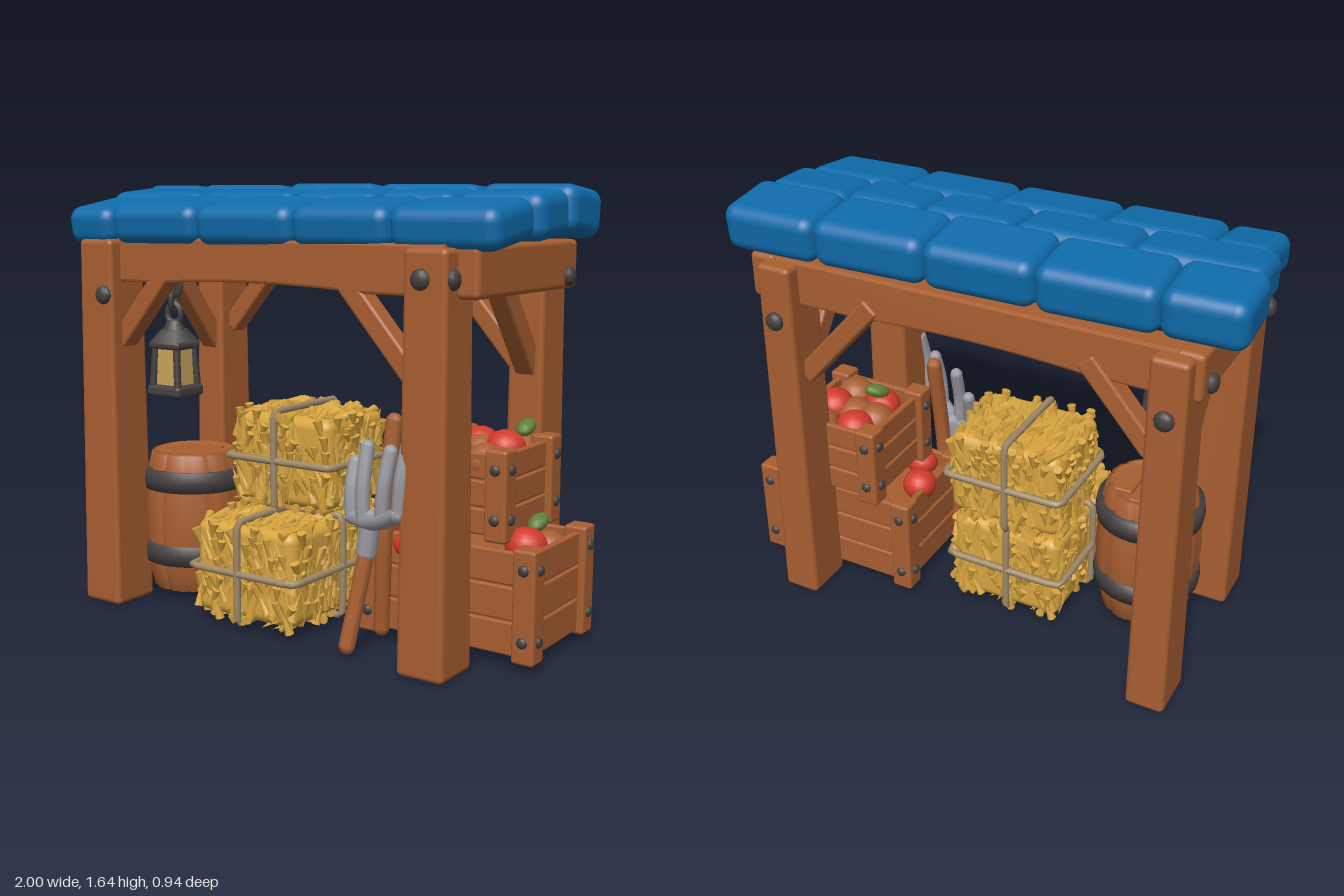
import * as THREE from 'three';
import { mergeGeometries } from 'three/addons/utils/BufferGeometryUtils.js';
import { RoundedBoxGeometry } from 'three/addons/geometries/RoundedBoxGeometry.js';

const mat = (name, color) => Object.assign(new THREE.MeshStandardMaterial({ color }), { name });
const V = (x, y, z) => new THREE.Vector3(x, y, z);

export function createModel() {
  const model = new THREE.Group();
  model.name = 'marketStall';
  const wood = mat('wood', 0xa85f31), blue = mat('blueRoof', 0x0f6cab), straw = mat('straw', 0xd8a540);
  const rope = mat('rope', 0xa08a68), iron = mat('darkIron', 0x464040), steel = mat('steel', 0x9b9ba3);
  const red = mat('appleRed', 0xd23a2b), green = mat('leafGreen', 0x5f7f35), glass = mat('lanternGlass', 0xc9a55e);
  let seed = 7;
  const rnd = () => (seed = (seed * 16807) % 2147483647) / 2147483647;
  const jit = (a) => (rnd() - 0.5) * 2 * a;

  const add = (parent, name, geo, material, x = 0, y = 0, z = 0) => {
    const m = new THREE.Mesh(geo, material);
    m.name = name;
    m.position.set(x, y, z);
    parent.add(m);
    return m;
  };
  const group = (name, parent = model) => {
    const g = new THREE.Group();
    g.name = name;
    parent.add(g);
    return g;
  };
  // Rounded block given by its minimum and maximum on each axis
  const block = (parent, name, [x0, x1], [y0, y1], [z0, z1], material = wood, r = 0.015) =>
    add(parent, name, new RoundedBoxGeometry(x1 - x0, y1 - y0, z1 - z0, 2, r), material,
      (x0 + x1) / 2, (y0 + y1) / 2, (z0 + z1) / 2);
  // Rounded block running between two points
  const strut = (parent, name, a, b, w, d, material = wood) => {
    const m = add(parent, name, new RoundedBoxGeometry(w, a.distanceTo(b), d, 2, 0.012), material);
    m.position.copy(a).lerp(b, 0.5);
    m.quaternion.setFromUnitVectors(V(0, 1, 0), b.clone().sub(a).normalize());
  };
  // Round rod along a curve with rounded ends
  const rod = (parent, name, pts, r, material) => {
    const parts = [new THREE.TubeGeometry(new THREE.CatmullRomCurve3(pts), 20, r, 8)];
    for (const p of [pts[0], pts.at(-1)])
      parts.push(new THREE.SphereGeometry(r, 8, 6).translate(p.x, p.y, p.z));
    return add(parent, name, mergeGeometries(parts), material);
  };
  const bolt = (parent, x, y, z, axis, r = 0.036) => {
    const m = add(parent, 'bolt', new THREE.SphereGeometry(r, 12, 8), iron, x, y, z);
    m.scale[axis] = 0.65;
  };

  // Frame: tapered posts (slimmer at the back), beams, braces and bolts
  const frame = group('frame');
  for (const [x, z, w] of [[-0.775, 0.345, 0.185], [0.685, 0.345, 0.18], [-0.8, -0.35, 0.15], [0.7, -0.35, 0.15]]) {
    const g = new RoundedBoxGeometry(w, 1.43, 0.205, 3, 0.02);
    const p = g.attributes.position;
    for (let i = 0; i < p.count; i++)
      if (p.getY(i) > 0) p.setXYZ(i, p.getX(i) * 0.9, p.getY(i), p.getZ(i) * 0.88);
    add(frame, 'post', g, wood, x, 0.715, z);
    const s = x < 0 ? 1 : -1, len = x < 0 ? 0.21 : 0.27;
    strut(frame, 'brace', V(x + s * 0.06, 1.25 - len, z), V(x + s * (len + 0.1), 1.33, z), 0.075, 0.08);
    if (z < 0) strut(frame, 'sideBrace', V(x, 0.97, z + 0.06), V(x, 1.32, z + 0.33), 0.08, 0.08);
  }
  const arch = new THREE.Shape();
  arch.moveTo(-0.8, 1.28);
  arch.lineTo(-0.5, 1.28);
  arch.quadraticCurveTo(-0.05, 1.315, 0.4, 1.28);
  arch.lineTo(0.72, 1.28);
  arch.lineTo(0.72, 1.43);
  arch.lineTo(-0.8, 1.43);
  for (const z of [0.285, -0.37])
    add(frame, 'longBeam', new THREE.ExtrudeGeometry(arch, { depth: 0.09, bevelSize: 0.01, bevelThickness: 0.01, bevelSegments: 2, curveSegments: 16 }), wood, 0, 0, z);
  block(frame, 'sideBeam', [-0.895, -0.79], [1.265, 1.44], [-0.38, 0.36], wood, 0.02);
  block(frame, 'sideBeam', [0.735, 0.84], [1.265, 1.44], [-0.38, 0.36], wood, 0.02);
  for (const [x, y, z, a] of [[-0.73, 1.22, 0.44, 'z'], [0.67, 1.33, 0.435, 'z'], [0.7, 1.22, -0.45, 'z'], [-0.8, 1.22, -0.45, 'z'],
    [0.845, 1.31, -0.3, 'x'], [0.765, 1.33, 0.39, 'x'], [-0.9, 1.31, 0.3, 'x'], [-0.9, 1.31, -0.3, 'x']])
    bolt(frame, x, y, z, a);

  // Roof: three rows of chunky tiles, slightly slumped at their edges
  const roof = group('roof');
  roof.rotation.y = 0.032;
  const rows = [
    { xs: [-0.93, -0.71, -0.31, 0.11, 0.5, 0.9], y: 1.502, z: 0.262, h: 0.145, d: 0.3, tilt: 0.15 },
    { xs: [-0.97, -0.51, -0.08, 0.28, 0.59, 0.92], y: 1.53, z: -0.002, h: 0.165, d: 0.25, tilt: 0.08 },
    { xs: [-1.0, -0.71, -0.28, 0.13, 0.56, 0.93], y: 1.54, z: -0.25, h: 0.175, d: 0.275, tilt: -0.09 },
  ];
  for (const { xs, y, z, h, d, tilt } of rows) for (let i = 0; i < 5; i++) {
    const w = xs[i + 1] - xs[i] + 0.004;
    const t = add(roof, 'roofTile', new RoundedBoxGeometry(w, h, d, 4, 0.05), blue, (xs[i] + xs[i + 1]) / 2, y + jit(0.004), z);
    t.rotation.set(tilt + jit(0.02), jit(0.01), jit(0.012));
  }

  // Hay bales: core, loose strands on every face, rope loops
  const bale = (cx, cy, cz, w, h, d, crossTie) => {
    const g = group('hayBale');
    g.position.set(cx, cy, cz);
    add(g, 'hayCore', new RoundedBoxGeometry(w - 0.024, h - 0.024, d - 0.024, 3, 0.04), straw);
    const strands = [], o = new THREE.Object3D(), f = new THREE.Object3D();
    f.add(o);
    const q = Math.PI / 2;
    for (const [rx, ry, fw, fh, fd] of [[0, 0, w, h, d], [0, 2 * q, w, h, d], [0, q, d, h, w], [0, -q, d, h, w], [q, 0, w, d, h], [-q, 0, w, d, h]]) {
      f.rotation.set(rx, ry, 0);
      for (let i = 0; i < fw * fh * 520; i++) {
        o.position.set(jit(fw / 2 - 0.03), jit(fh / 2 - 0.045), fd / 2 - 0.016);
        o.rotation.set(0.1 + jit(0.08), 0, (rnd() < 0.5 ? Math.PI : 0) + jit(0.5));
        f.updateMatrixWorld(true);
        strands.push(new THREE.ConeGeometry(0.018, 0.1 + jit(0.02), 7).applyMatrix4(o.matrixWorld));
      }
    }
    add(g, 'strawStrands', mergeGeometries(strands), straw);
    const loop = (a, b, toPoint) => {
      const c = [];
      for (const [sx, sy] of [[1, 1], [-1, 1], [-1, -1], [1, -1]]) {
        const near = [sx * a, sy * b * 0.88], far = [sx * a * 0.88, sy * b];
        c.push(...(sx * sy > 0 ? [near, far] : [far, near]));
      }
      const path = new THREE.CatmullRomCurve3(c.map(([u, v]) => toPoint(u, v)), true, 'catmullrom', 0.15);
      add(g, 'ropeTie', new THREE.TubeGeometry(path, 64, 0.014, 8, true), rope);
    };
    loop(d / 2 + 0.003, h / 2 + 0.003, (u, v) => V(-0.015, v, u));
    loop(w / 2 + 0.003, d / 2 + 0.003, (u, v) => V(u, 0, v));
    if (crossTie) loop(w / 2 + 0.003, h / 2 + 0.003, (u, v) => V(u, v, 0));
  };
  bale(-0.1, 0.22, 0.1, 0.48, 0.38, 0.61, true);
  bale(-0.1, 0.605, -0.02, 0.48, 0.37, 0.4, false);

  // Barrel: bulged lathe with grooves between staves, lid and two iron bands
  const barrel = group('barrel');
  barrel.position.set(-0.58, 0, 0.1);
  const profile = [[0, 0.06], [0.145, 0.06], [0.15, 0.04], [0.17, 0.04], [0.188, 0.12], [0.201, 0.22], [0.205, 0.315],
    [0.201, 0.41], [0.188, 0.51], [0.172, 0.585], [0.15, 0.592], [0.145, 0.572], [0, 0.572]];
  const staves = new THREE.LatheGeometry(profile.map(([r, y]) => new THREE.Vector2(r, y)), 60);
  const sp = staves.attributes.position;
  for (let i = 0; i < sp.count; i++)
    if (Math.floor(i / profile.length) % 5 === 0) sp.setXYZ(i, sp.getX(i) * 0.96, sp.getY(i), sp.getZ(i) * 0.96);
  staves.computeVertexNormals();
  add(barrel, 'staves', staves, wood);
  for (let i = -1; i <= 1; i++)
    block(barrel, 'lidPlank', [i * 0.092 - 0.044, i * 0.092 + 0.044], [0.56, 0.585], i ? [-0.09, 0.09] : [-0.135, 0.135], wood, 0.008);
  for (const y of [0.19, 0.485]) {
    const band = [[0.175, -0.04], [0.205, -0.04], [0.211, 0], [0.205, 0.04], [0.175, 0.04]];
    add(barrel, 'band', new THREE.LatheGeometry(band.map(([r, dy]) => new THREE.Vector2(r, y + dy)), 40), iron);
  }

  // Crates: corner battens, three planks a side, inner box, bolts
  const crate = (x0, x1, y0, y1, z0, z1) => {
    const g = group('crate'), t = 0.025, b = 0.085, step = (y1 - y0 - 0.03) / 3;
    block(g, 'innerBox', [x0 + 0.035, x1 - 0.035], [y0 + 0.01, y1 - 0.09], [z0 + 0.035, z1 - 0.035]);
    for (let i = 0; i < 3; i++) {
      const ys = [y0 + 0.015 + i * step, y0 + 0.01 + (i + 1) * step];
      for (const z of [z0 + t, z1 - 2 * t]) block(g, 'plank', [x0 + t, x1 - t], ys, [z, z + t], wood, 0.008);
      for (const x of [x0 + t, x1 - 2 * t]) block(g, 'plank', [x, x + t], ys, [z0 + t, z1 - t], wood, 0.008);
    }
    for (const sx of [0, 1]) for (const sz of [0, 1]) {
      const xs = sx ? [x1 - b, x1] : [x0, x0 + b], zs = sz ? [z1 - b, z1] : [z0, z0 + b];
      block(g, 'cornerBatten', xs, [y0, y1], zs, wood, 0.012);
      for (const y of [y0 + 0.08, y1 - 0.07]) {
        bolt(g, sx ? x1 : x0, y, (zs[0] + zs[1]) / 2, 'x', 0.02);
        bolt(g, (xs[0] + xs[1]) / 2, y, sz ? z1 : z0, 'z', 0.02);
      }
    }
  };
  crate(0.275, 0.98, 0.03, 0.43, -0.29, 0.195);
  crate(0.4, 0.83, 0.415, 0.74, -0.315, 0.125);

  // Produce heaped in the crates
  const produce = group('produce');
  const fruit = (x, y, z, r, material) => add(produce, 'fruit', new THREE.SphereGeometry(r, 16, 12), material, x, y, z).scale.set(1, 0.9, 1);
  const leaf = (x, y, z, yaw) => {
    const m = add(produce, 'leaf', new THREE.SphereGeometry(0.052, 12, 8), green, x, y, z);
    m.scale.set(1, 0.5, 0.65);
    m.rotation.set(0, yaw, 0.35);
  };
  for (const [x, y, z] of [[0.55, 0.68, -0.01], [0.7, 0.7, -0.12], [0.55, 0.685, -0.21]]) fruit(x, y, z, 0.075, red);
  for (const [x, z] of [[0.7, 0.03], [0.52, -0.11], [0.69, -0.24], [0.61, -0.11]]) fruit(x, 0.675, z, 0.075, wood);
  leaf(0.55, 0.762, -0.04, 0.9);
  leaf(0.73, 0.765, -0.22, 1.6);
  fruit(0.86, 0.395, 0.02, 0.075, red);
  fruit(0.88, 0.36, -0.12, 0.07, wood);
  fruit(0.35, 0.395, -0.07, 0.068, red);
  fruit(0.45, 0.365, 0.12, 0.065, red);
  leaf(0.86, 0.462, -0.07, 1.5);

  // Hay fork turned towards the right post, and a spare handle behind it
  const fork = group('hayFork');
  const fp = (x, y, dz = 0) => V(x, y, 0.23 + (x - 0.27) * 0.54 + dz);
  rod(fork, 'handle', [V(0.355, 0.035, 0.38), V(0.37, 0.2, 0.34), V(0.39, 0.4, 0.3)], 0.03, wood);
  rod(fork, 'socket', [V(0.385, 0.36, 0.305), fp(0.4, 0.48)], 0.037, steel);
  rod(fork, 'crossbar', [fp(0.31, 0.47, 0.02), fp(0.4, 0.475, 0.02), fp(0.5, 0.505, 0.03), fp(0.59, 0.55, 0.03)], 0.028, steel);
  for (const [bx, by, tx, ty] of [[0.3, 0.47, 0.285, 0.66], [0.375, 0.48, 0.365, 0.73], [0.49, 0.51, 0.51, 0.74], [0.595, 0.56, 0.615, 0.785]])
    rod(fork, 'tine', [fp(bx, by, 0.025), fp((bx + tx) / 2, (by + ty) / 2, 0.02), fp(tx, ty, -0.01)], 0.026, steel);
  rod(model, 'spareHandle', [V(0.41, 0.81, 0.17), V(0.4, 0.45, 0.21), V(0.37, 0.05, 0.18)], 0.031, wood);

  // Lantern hanging on a chain
  const lantern = group('lantern');
  lantern.position.set(-0.575, 0, 0.215);
  block(lantern, 'base', [-0.084, 0.084], [0.82, 0.865], [-0.077, 0.077], iron);
  block(lantern, 'pane', [-0.056, 0.056], [0.86, 1.02], [-0.052, 0.052], glass, 0.005);
  for (const x of [-1, 1]) for (const z of [-1, 1])
    strut(lantern, 'cornerBar', V(x * 0.064, 0.85, z * 0.058), V(x * 0.053, 1.02, z * 0.049), 0.027, 0.027, iron);
  block(lantern, 'rim', [-0.076, 0.076], [1.005, 1.035], [-0.068, 0.068], iron, 0.012);
  add(lantern, 'cap', new THREE.CylinderGeometry(0.05, 0.1, 0.055, 4).rotateY(Math.PI / 4), iron, 0, 1.055, 0);
  add(lantern, 'knob', new THREE.CylinderGeometry(0.027, 0.045, 0.04, 8), iron, 0, 1.095, 0);
  for (let i = 0; i < 6; i++) {
    const link = add(lantern, 'chainLink', new THREE.TorusGeometry(0.028, 0.012, 6, 14), iron, 0, 1.14 + i * 0.056, 0);
    link.scale.y = 1.35;
    link.rotation.y = i % 2 * Math.PI / 2 + 0.3;
  }
  return model;
}
